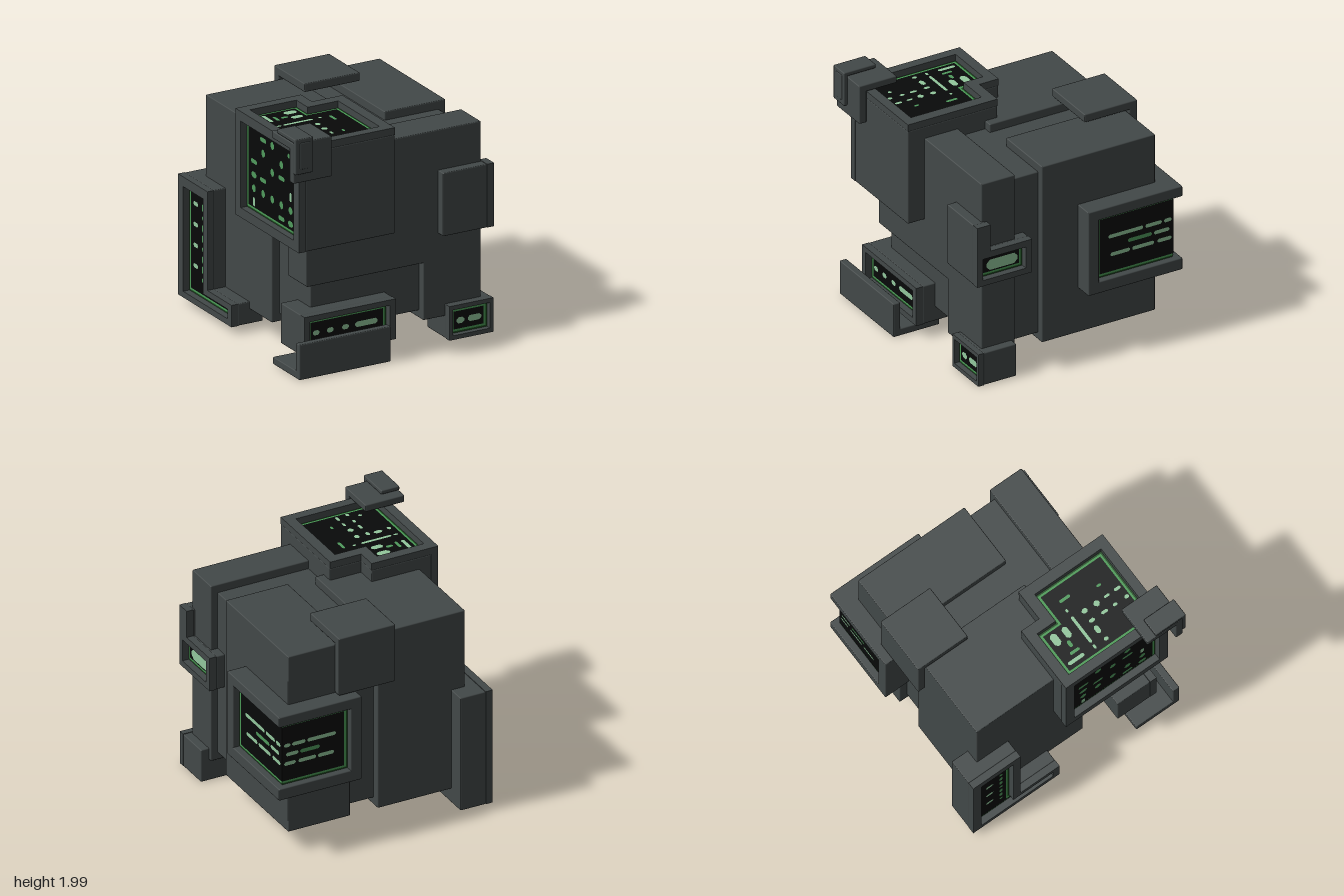
import * as THREE from 'three';
import { RoundedBoxGeometry } from 'three/addons/geometries/RoundedBoxGeometry.js';

function material(name, color) {
  const m = new THREE.MeshStandardMaterial({ color });
  m.name = name;
  return m;
}

export function createModel() {
  const model = new THREE.Group();
  model.name = 'armouredCube';
  const hull = material('hullGrey', 0x424848);
  const edge = material('darkGreenBorder', 0x1d4a20);
  const line = material('greenBorder', 0x4a9a55);
  const black = material('screenBlack', 0x080909);
  const pale = material('paleGlyphGreen', 0x92c79c);
  const mid = material('midGlyphGreen', 0x4f9a5c);
  const layers = [[edge, 0], [line, 0.015], [black, 0.032]];

  function add(parent, name, geometry, mat) {
    const mesh = new THREE.Mesh(geometry, mat);
    mesh.name = name;
    parent.add(mesh);
    return mesh;
  }
  // softly bevelled block given by its limits
  function block(name, x0, x1, y0, y1, z0, z1) {
    const g = new RoundedBoxGeometry(x1 - x0, y1 - y0, z1 - z0, 1, 0.008);
    add(model, name, g, hull).position.set((x0 + x1) / 2, (y0 + y1) / 2, (z0 + z1) / 2);
  }
  const rect = (x0, x1, y0, y1) => [[x0, y0], [x1, y0], [x1, y1], [x0, y1]];
  const toShape = (pts) => new THREE.Shape(pts.map(([x, y]) => new THREE.Vector2(x, y)));

  // move the sides of a right-angled, counter-clockwise outline inwards
  function inset(pts, d) {
    const n = pts.length;
    const normal = (a, b) => [-Math.sign(b[1] - a[1]), Math.sign(b[0] - a[0])];
    return pts.map((p, i) => {
      const a = normal(pts[(i + n - 1) % n], p);
      const b = normal(p, pts[(i + 1) % n]);
      return [p[0] + d * (a[0] + b[0]), p[1] + d * (a[1] + b[1])];
    });
  }
  // glyphs: [centre x, centre y, width, height, mid tone?]
  function glyphs(group, list, z) {
    for (const [x, y, w, h, dim] of list) {
      const r = Math.min(w, h) * 0.35, s = new THREE.Shape();
      const a = w / 2, b = h / 2;
      s.moveTo(x - a + r, y - b).lineTo(x + a - r, y - b).lineTo(x + a, y - b + r)
        .lineTo(x + a, y + b - r).lineTo(x + a - r, y + b).lineTo(x - a + r, y + b)
        .lineTo(x - a, y + b - r).lineTo(x - a, y - b + r);
      add(group, 'glyph', new THREE.ShapeGeometry(s), dim ? mid : pale).position.z = z;
    }
  }
  // group whose local xy plane lies on one side of the cube
  function side(name, face, offset) {
    const g = new THREE.Group();
    g.name = name;
    if (face === 'top') { g.rotation.x = -Math.PI / 2; g.position.y = offset; }
    if (face === 'front') g.position.z = offset;
    if (face === 'back') { g.rotation.y = Math.PI; g.position.z = -offset; }
    if (face === 'plusX') { g.rotation.y = Math.PI / 2; g.position.x = offset; }
    if (face === 'minusX') { g.rotation.y = -Math.PI / 2; g.position.x = -offset; }
    model.add(g);
    return g;
  }
  // rim with a sunken screen in its opening
  function panel(name, face, offset, outline, hole, marks, depth = 0.06) {
    const g = side(name, face, offset);
    const s = toShape(outline);
    s.holes.push(toShape(hole));
    const rim = new THREE.ExtrudeGeometry(s, { depth, bevelEnabled: false });
    add(g, 'rim', rim, hull).position.z = -depth;
    layers.forEach(([mat, d], i) => {
      const plate = new THREE.ShapeGeometry(toShape(inset(hole, d)));
      add(g, 'screenLayer', plate, mat).position.z = -depth + 0.003 * (i + 1);
    });
    glyphs(g, marks, -depth + 0.012);
  }

  // core and the armour wrapped around it
  block('core', -0.66, 0.75, 0.25, 1.66, -0.76, 0.65);
  block('rearArmour', -0.73, 0.03, 0.19, 1.73, -0.83, 0.18);
  block('rearArmour', 0.27, 0.81, 0.19, 1.73, -0.83, 0.18);
  block('frontArmour', -0.73, 0.81, 0.66, 1.73, 0.42, 0.72);
  block('frontArmourLeg', 0.3, 0.81, 0.19, 0.68, 0.42, 0.72);

  // bent plate over the top rear edge
  block('topPlate', -0.08, 0.41, 1.75, 1.82, -0.91, -0.44);
  block('topPlateFlap', -0.08, 0.41, 1.32, 1.82, -0.91, -0.84);

  // upper corner housing with top and side screens
  block('cornerHousing', -0.83, -0.31, 1.02, 1.83, -0.1, 0.87);
  block('cornerHousingStep', -0.4, -0.04, 1.02, 1.83, 0.07, 0.87);
  panel('topScreen', 'top', 1.89,
    [[-0.89, -0.87], [-0.04, -0.87], [-0.04, -0.07], [-0.31, -0.07], [-0.31, 0.1], [-0.89, 0.1]],
    [[-0.81, -0.79], [-0.13, -0.79], [-0.13, -0.16], [-0.4, -0.16], [-0.4, 0.015], [-0.81, 0.015]],
    [
      [-0.73, 0.115, 0.03, 0.15], [-0.67, 0.145, 0.025, 0.09, 1], [-0.51, 0.08, 0.11, 0.06],
      [-0.51, 0.185, 0.1, 0.05], [-0.6, 0.15, 0.06, 0.03, 1], [-0.56, 0.29, 0.26, 0.025],
      [-0.73, 0.29, 0.04, 0.02], [-0.37, 0.29, 0.03, 0.02], [-0.28, 0.335, 0.025, 0.1, 1],
      [-0.73, 0.4, 0.03, 0.04], [-0.63, 0.39, 0.07, 0.04], [-0.545, 0.4, 0.03, 0.05],
      [-0.45, 0.4, 0.04, 0.05], [-0.545, 0.52, 0.025, 0.06], [-0.455, 0.51, 0.05, 0.05],
      [-0.545, 0.62, 0.025, 0.04], [-0.45, 0.61, 0.02, 0.05], [-0.345, 0.61, 0.02, 0.04, 1],
      [-0.63, 0.68, 0.03, 0.03], [-0.545, 0.73, 0.03, 0.04], [-0.45, 0.71, 0.025, 0.06],
    ].map(([x, z, w, h, dim]) => [x, -z, w, h, dim]));
  const scatter = [];
  for (let row = 0; row < 6; row++) {
    for (let col = 0; col < 5; col++) {
      const k = (row * 7 + col * 5 + row * col) % 6;
      if (k > 3) continue;
      scatter.push([0.1 + col * 0.14, 1.18 + row * 0.11, 0.035 + 0.02 * k, 0.075 - 0.013 * k, k !== 0]);
    }
  }
  panel('sideScreen', 'minusX', 0.89, rect(-0.1, 0.87, 1.02, 1.83), rect(-0.02, 0.79, 1.1, 1.81), scatter);

  // layered clip on the upper corner
  block('clipFront', -0.98, -0.64, 1.63, 1.96, 0.88, 0.945);
  block('clipTop', -0.98, -0.64, 1.9, 1.96, 0.61, 0.945);
  block('clipCapFront', -0.98, -0.82, 1.71, 2.0, 0.94, 0.975);
  block('clipCapTop', -0.98, -0.82, 1.965, 2.0, 0.69, 0.975);
  block('clipButton', -0.94, -0.85, 1.75, 1.97, 0.955, 0.98);

  // rear corner frame whose screen wraps round the edge
  block('wrapHousing', 0.25, 0.91, 0.6, 1.29, -0.92, -0.14);
  block('wrapTopRim', 0.25, 0.97, 1.22, 1.31, -0.98, -0.14);
  block('wrapBottomRim', 0.25, 0.97, 0.58, 0.68, -0.98, -0.14);
  block('wrapSideRim', 0.85, 0.97, 0.58, 1.31, -0.235, -0.14);
  block('wrapRearRim', 0.25, 0.345, 0.58, 1.31, -0.98, -0.86);
  const rows = [[1.02, 0.02, 0.34], [1.02, 0.36, 0.51], [1.02, 0.53, 0.6],
    [0.94, 0.2, 0.42, 1], [0.94, 0.44, 0.58], [0.86, 0.04, 0.22], [0.86, 0.24, 0.44], [0.86, 0.47, 0.6]];
  for (const [face, offset, sign, start, corner] of [
    ['plusX', 0.91, 1, 0.235, 0.92], ['back', 0.92, -1, 0.345, 0.91]]) {
    const g = side('wrapScreen', face, offset);
    layers.forEach(([mat, d], i) => {
      const a = sign * (start + d), b = sign * (corner + 0.003 * (i + 1));
      const pts = rect(Math.min(a, b), Math.max(a, b), 0.68 + d, 1.22 - d);
      add(g, 'screenLayer', new THREE.ShapeGeometry(toShape(pts)), mat).position.z = 0.003 * (i + 1);
    });
    const scale = (corner - start - 0.1) / 0.6;
    glyphs(g, rows.map(([y, a, b, dim]) =>
      [sign * (start + 0.09 + scale * (a + b) / 2), y, scale * (b - a), 0.032, dim]), 0.012);
  }

  // small display on the +x front edge with its tall front plate
  block('edgeDisplayPlate', 0.43, 0.82, 0.88, 1.4, 0.68, 0.8);
  block('edgeDisplayHousing', 0.7, 0.82, 0.88, 1.17, 0.31, 0.8);
  panel('edgeDisplay', 'plusX', 0.88,
    [[-0.8, 0.88], [-0.31, 0.88], [-0.31, 1.17], [-0.68, 1.17], [-0.68, 1.4], [-0.8, 1.4]],
    rect(-0.75, -0.365, 0.93, 1.115), [[-0.55, 1.02, 0.28, 0.09]]);

  // foot display at the +x front corner
  block('footHousing', 0.49, 0.88, 0.01, 0.29, 0.45, 0.74);
  panel('footDisplay', 'front', 0.79, rect(0.49, 0.88, 0.01, 0.29), rect(0.52, 0.85, 0.045, 0.255),
    [[0.61, 0.145, 0.07, 0.05], [0.735, 0.145, 0.12, 0.05]], 0.05);

  // lower front display behind a raised tray
  block('lowerDisplayHousing', -0.81, 0, 0.13, 0.46, 0.45, 0.76);
  panel('lowerDisplay', 'front', 0.82, rect(-0.81, 0, 0.13, 0.46), rect(-0.76, -0.055, 0.18, 0.415),
    [[-0.68, 0.295, 0.06, 0.04], [-0.555, 0.295, 0.06, 0.04], [-0.42, 0.295, 0.06, 0.04],
      [-0.235, 0.295, 0.2, 0.045]]);
  block('trayFront', -0.93, -0.12, 0.01, 0.3, 0.89, 0.95);
  block('trayFloor', -0.93, -0.12, 0.01, 0.07, 0.54, 0.95);

  // rear lower corner frame with an L-shaped screen
  block('rearDisplayTower', -0.83, -0.61, 0.07, 1.06, -0.98, -0.53);
  block('rearDisplayFoot', -0.83, -0.61, 0.07, 0.25, -0.6, -0.16);
  const column = [];
  for (let i = 0; i < 8; i++) {
    column.push([-0.68, 0.27 + i * 0.085, 0.03, i % 3 ? 0.06 : 0.035, 1]);
    if (i % 2) column.push([-0.79, 0.27 + i * 0.085, 0.07, 0.035]);
  }
  panel('rearDisplay', 'minusX', 0.89,
    [[-0.98, 0.07], [-0.16, 0.07], [-0.16, 0.25], [-0.53, 0.25], [-0.53, 1.06], [-0.98, 1.06]],
    [[-0.9, 0.12], [-0.22, 0.12], [-0.22, 0.2], [-0.6, 0.2], [-0.6, 0.98], [-0.9, 0.98]], column);

  return model;
}
